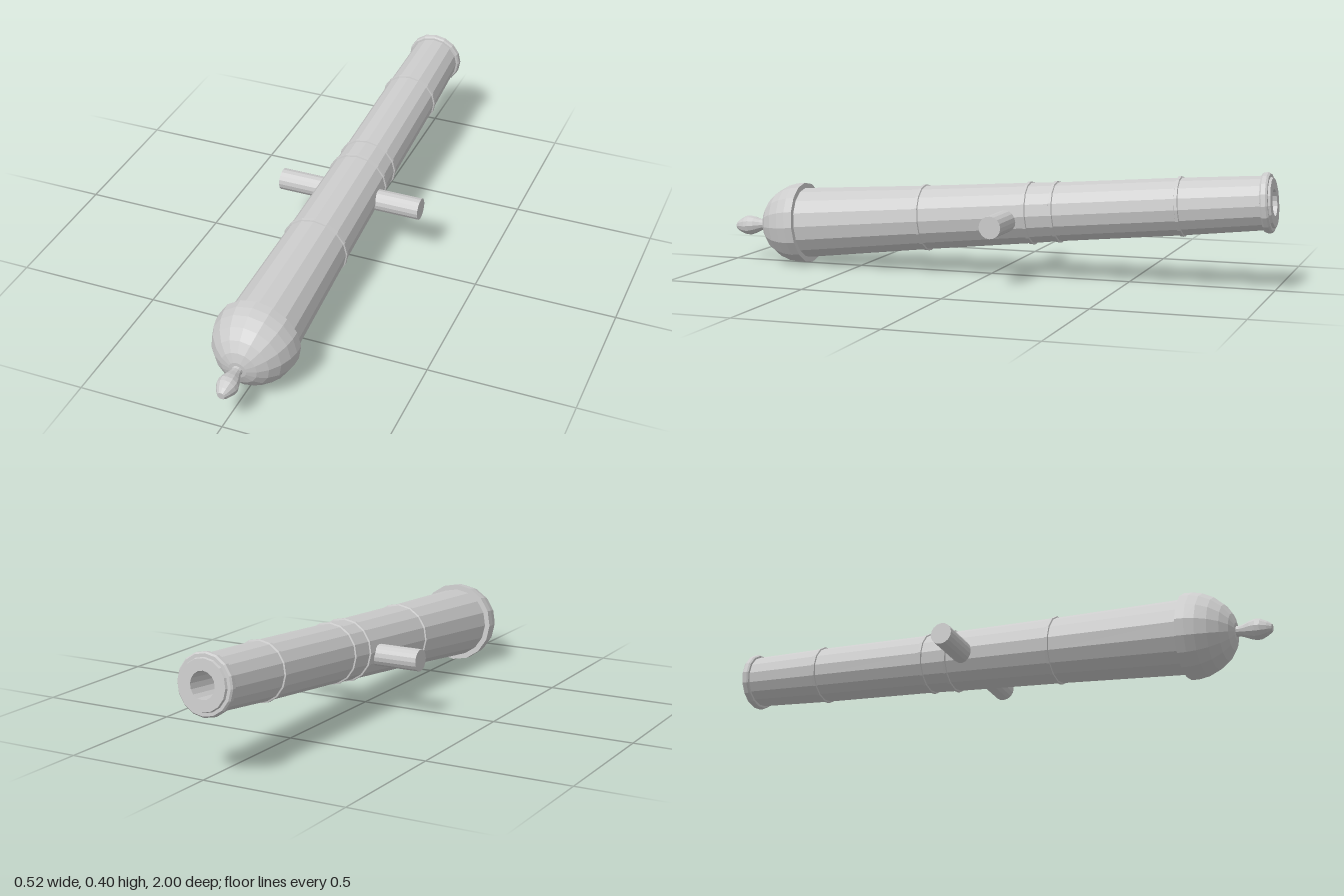
import * as THREE from 'three';

const SIDES = 16;
const TILT = THREE.MathUtils.degToRad(5);

export function createModel() {
  const model = new THREE.Group();
  model.name = 'cannonBarrel';
  const metal = new THREE.MeshStandardMaterial({ color: 0xcccccc, flatShading: true });

  // Everything turned lives on the tilted bore axis: +y of each profile points to the muzzle
  const turned = new THREE.Group();
  turned.name = 'turnedParts';
  turned.rotation.x = TILT - Math.PI / 2;
  turned.position.y = 0.208;
  model.add(turned);

  // profile: [radius, distance along the axis], from breech to muzzle
  function turn(name, profile, sides = SIDES) {
    const points = profile.map(([r, s]) => new THREE.Vector2(r, s));
    const mesh = new THREE.Mesh(new THREE.LatheGeometry(points, sides), metal);
    mesh.name = name;
    turned.add(mesh);
  }

  // Knob behind the breech
  turn('breechKnob', [
    [0, -1.0], [0.013, -1.0], [0.024, -0.985], [0.034, -0.963], [0.036, -0.947],
    [0.031, -0.927], [0.022, -0.905], [0.017, -0.888], [0.02, -0.865],
  ], 12);

  // Domed breech with its stepped rim
  turn('breech', [
    [0, -0.881], [0.03, -0.879], [0.062, -0.868], [0.094, -0.845], [0.121, -0.812],
    [0.138, -0.775], [0.145, -0.742], [0.146, -0.711], [0.115, -0.711],
  ]);

  // Tapering tube
  turn('tube', [
    [0.127, -0.72], [0.1135, -0.243], [0.1055, 0.15], [0.1025, 0.246],
    [0.098, 0.683], [0.091, 0.97],
  ]);

  // Raised reinforcing rings
  for (const [s, r] of [[-0.243, 0.1135], [0.15, 0.1055], [0.246, 0.1025], [0.683, 0.098]]) {
    turn('reinforcingRing', [
      [r - 0.004, s - 0.008], [r + 0.005, s - 0.005], [r + 0.005, s + 0.005], [r - 0.004, s + 0.008],
    ]);
  }

  // Muzzle moulding, lip and bore
  turn('muzzle', [
    [0.088, 0.96], [0.098, 0.962], [0.102, 0.968], [0.102, 0.982], [0.097, 0.988],
    [0.086, 0.988], [0.083, 0.996], [0.045, 0.996], [0.043, 0.45], [0, 0.45],
  ]);

  // Trunnions on both sides
  for (const side of [1, -1]) {
    const trunnion = new THREE.Mesh(new THREE.CylinderGeometry(0.0385, 0.0385, 0.2, SIDES), metal);
    trunnion.name = side > 0 ? 'leftTrunnion' : 'rightTrunnion';
    trunnion.rotation.z = Math.PI / 2;
    trunnion.position.set(side * 0.162, 0.202, -0.083);
    model.add(trunnion);
  }

  return model;
}
